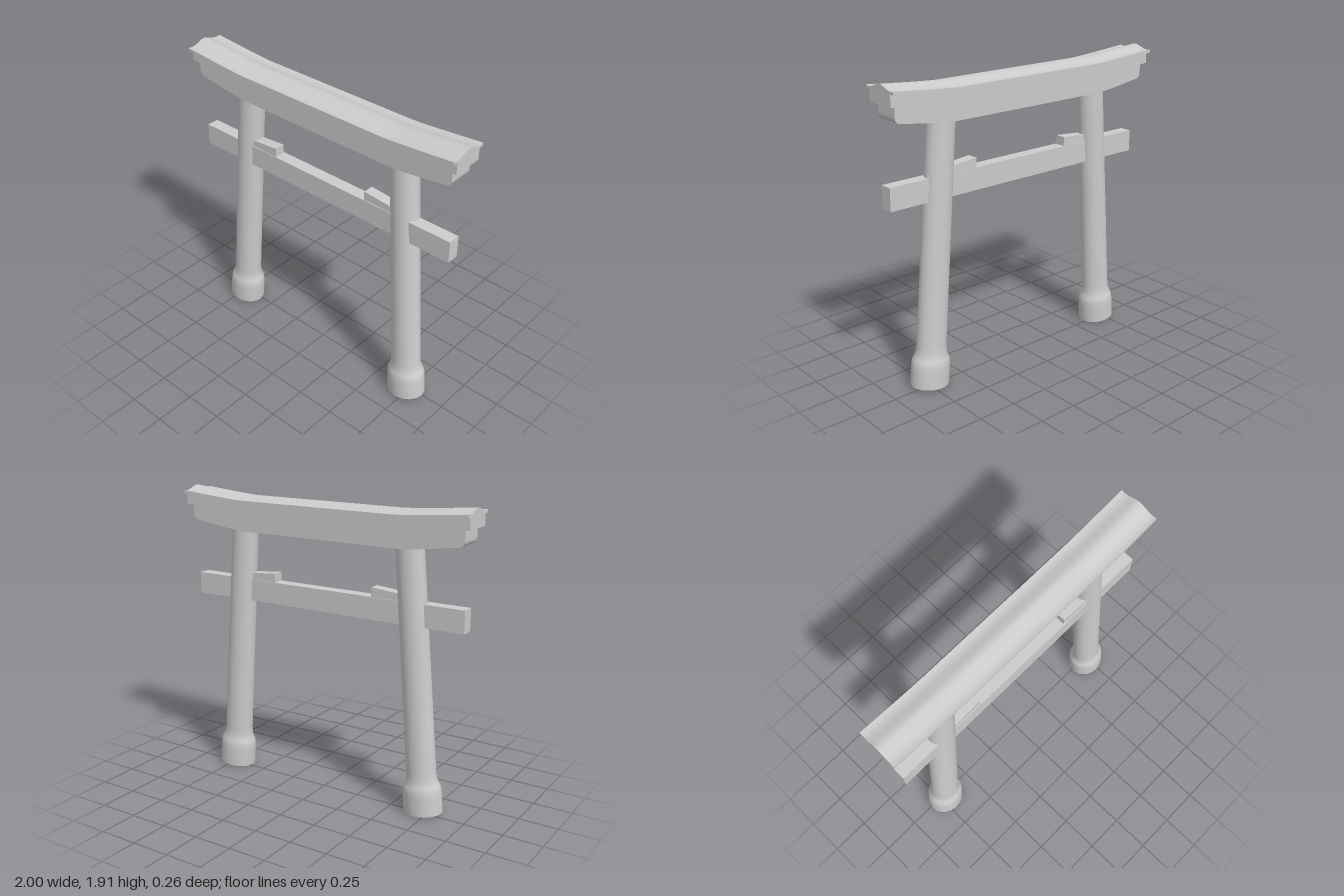
import * as THREE from 'three';
import { toCreasedNormals } from 'three/addons/utils/BufferGeometryUtils.js';

const material = new THREE.MeshStandardMaterial({ color: 0xcccccc });
const vec = ([x, y]) => new THREE.Vector2(x, y);

function add(parent, name, geometry, crease = 0.6) {
  const mesh = new THREE.Mesh(toCreasedNormals(geometry, crease), material);
  mesh.name = name;
  parent.add(mesh);
  return mesh;
}

function box(parent, name, x0, x1, y0, y1, z0, z1) {
  const geometry = new THREE.BoxGeometry(x1 - x0, y1 - y0, z1 - z0);
  geometry.translate((x0 + x1) / 2, (y0 + y1) / 2, (z0 + z1) / 2);
  return add(parent, name, geometry);
}

// Roof beam: half cross-section (z, y) mirrored, run along x, ends lifted
function roofBeam(parent) {
  const half = [
    [0.02, 1.866], [0.045, 1.857], [0.07, 1.848], [0.09, 1.843], [0.11, 1.842], [0.13, 1.846],
    [0.13, 1.826], [0.1, 1.826], [0.1, 1.755],
  ];
  const mirrored = half.map(([z, y]) => [-z, y]).reverse();
  const shape = new THREE.Shape([[0, 1.87], ...half, ...mirrored].map(vec));
  const geometry = new THREE.ExtrudeGeometry(shape, { depth: 2, steps: 48, bevelEnabled: false });
  geometry.translate(0, 0, -1).rotateY(Math.PI / 2);
  const p = geometry.attributes.position;
  for (let i = 0; i < p.count; i++) {
    const t = Math.max(0, (Math.abs(p.getX(i)) - 0.54) / 0.46);
    p.setY(i, p.getY(i) + 0.036 * t ** 1.2);
  }
  add(parent, 'roofBeam', geometry, 0.5);
}

// Lower lintel: front outline with rising, rounded ends
function lintel(parent) {
  const shape = new THREE.Shape();
  shape.moveTo(-0.57, 1.645);
  shape.lineTo(0.57, 1.645);
  shape.quadraticCurveTo(0.66, 1.65, 0.93, 1.69);
  shape.quadraticCurveTo(0.965, 1.695, 0.965, 1.73);
  shape.lineTo(0.965, 1.8);
  shape.lineTo(0.55, 1.77);
  shape.lineTo(-0.55, 1.77);
  shape.lineTo(-0.965, 1.8);
  shape.lineTo(-0.965, 1.73);
  shape.quadraticCurveTo(-0.965, 1.695, -0.93, 1.69);
  shape.quadraticCurveTo(-0.66, 1.65, -0.57, 1.645);
  const geometry = new THREE.ExtrudeGeometry(shape, { depth: 0.16, bevelEnabled: false, curveSegments: 10 });
  add(parent, 'lintel', geometry.translate(0, 0, -0.08));
}

// Leaning post with its foot, slightly oval in plan
function post(parent, side) {
  const group = new THREE.Group();
  group.name = side > 0 ? 'leftPost' : 'rightPost';
  const foot = [
    [0, 0], [0.124, 0], [0.124, 0.11], [0.122, 0.145], [0.118, 0.165], [0.112, 0.178], [0.09, 0.18],
  ];
  const shaft = [
    [0, 0.15], [0.112, 0.178], [0.104, 0.195], [0.098, 0.22], [0.095, 0.26], [0.087, 1.7], [0, 1.7],
  ];
  add(group, 'foot', new THREE.LatheGeometry(foot.map(vec), 40));
  add(group, 'shaft', new THREE.LatheGeometry(shaft.map(vec), 40));
  group.scale.z = 0.88;
  group.position.set(0.009 + side * 0.725, 0.01, 0.02);
  group.rotation.set(-0.011, 0, side * 0.079);
  parent.add(group);
}

// Wedge resting on the tie beam at the inside of a post, lower towards the post
function wedge(parent, side) {
  const shape = new THREE.Shape(
    [[0.355, 1.31], [0.6, 1.31], [0.6, 1.362], [0.355, 1.383]].map(([x, y]) => vec([side * x, y])));
  const geometry = new THREE.ExtrudeGeometry(shape, { depth: 0.07, bevelEnabled: false });
  add(parent, side > 0 ? 'leftWedge' : 'rightWedge', geometry.translate(0.012, 0, -0.015));
}

export function createModel() {
  const model = new THREE.Group();
  model.name = 'gate';
  roofBeam(model);
  lintel(model);
  box(model, 'tieBeam', -0.957, 0.98, 1.185, 1.325, -0.02, 0.06);
  for (const side of [-1, 1]) {
    post(model, side);
    wedge(model, side);
  }
  return model;
}
